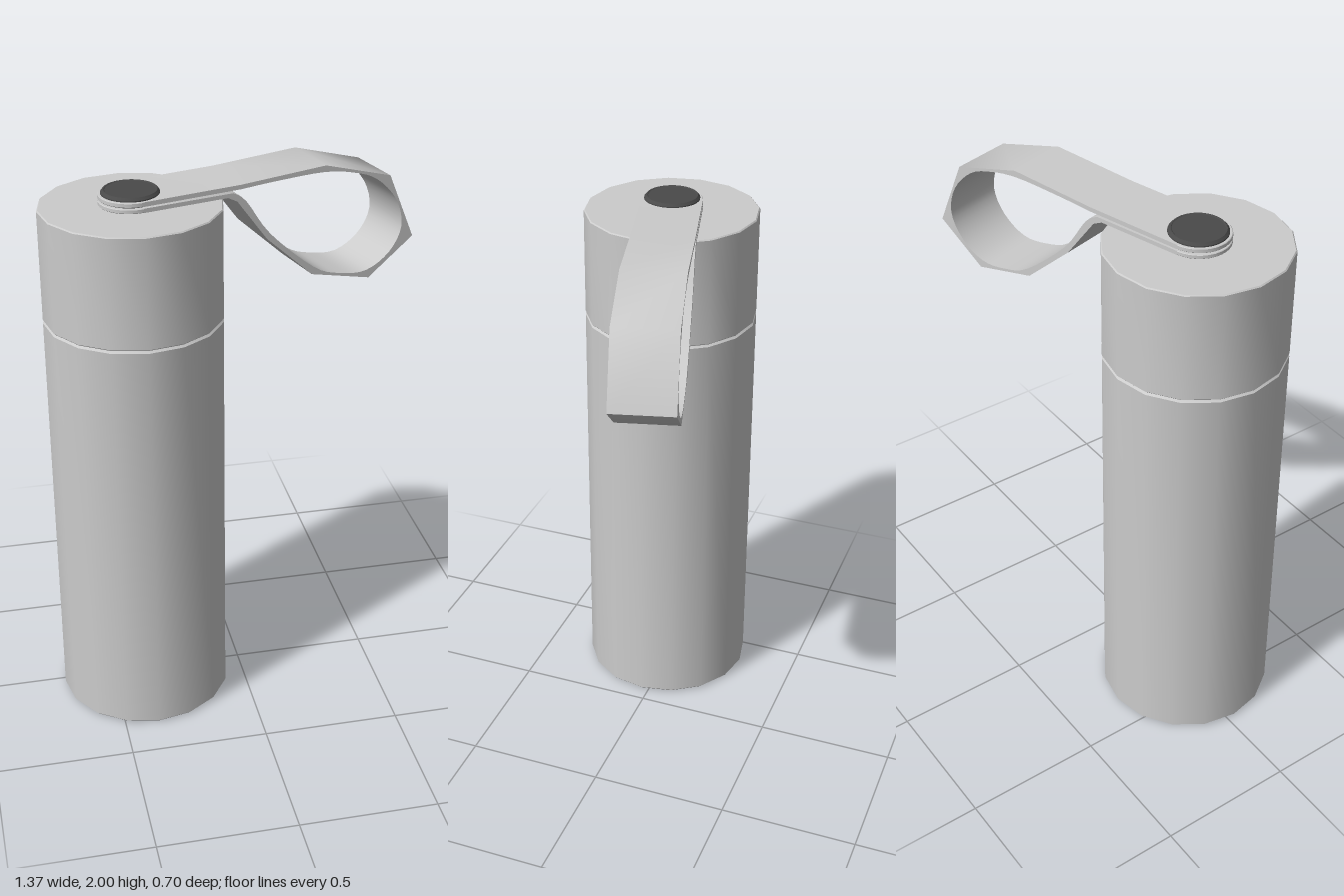
import * as THREE from 'three';
import { toCreasedNormals } from 'three/addons/utils/BufferGeometryUtils.js';

const grey = new THREE.MeshStandardMaterial({ color: 0xcccccc });
const dark = new THREE.MeshStandardMaterial({ color: 0x4a4a4a });
const pts = (list) => list.map(([x, y]) => new THREE.Vector2(x, y));

// Turned part with smooth sides and sharp rims
function turned(name, profile, sides, material) {
  const geo = toCreasedNormals(new THREE.LatheGeometry(pts(profile), sides), 0.6);
  const mesh = new THREE.Mesh(geo, material);
  mesh.name = name;
  return mesh;
}

// Closed drum with a small bevel on both rims
function drum(name, r, y0, y1, bevel, sides, material) {
  return turned(name, [
    [0, y0], [r - bevel, y0], [r, y0 + bevel],
    [r, y1 - bevel], [r - bevel, y1], [0, y1],
  ], sides, material);
}

// Strap: faceted outside, rounded inside, seen from its edge
function strapBand(width) {
  const outer = pts([
    [0, 1.98], [0.36, 1.982], [0.69, 1.998], [0.955, 1.92], [1.061, 1.675],
    [0.88, 1.545], [0.643, 1.603], [0.46, 1.77], [0.345, 1.925], [0.31, 1.943], [0, 1.943],
  ]);
  const inner = new THREE.SplineCurve(pts([
    [0.33, 1.957], [0.38, 1.92], [0.475, 1.785], [0.65, 1.63], [0.76, 1.585], [0.87, 1.576],
    [0.965, 1.63], [1.012, 1.72], [0.985, 1.825], [0.9, 1.915],
    [0.8, 1.955], [0.68, 1.975], [0.5, 1.973], [0.36, 1.966],
  ])).getPoints(52);
  const shape = new THREE.Shape([...outer, ...pts([[0, 1.958]]), ...inner, ...pts([[0, 1.964]])]);
  const geo = new THREE.ExtrudeGeometry(shape, { depth: width, bevelEnabled: false });
  geo.translate(0, 0, -width / 2);
  const mesh = new THREE.Mesh(toCreasedNormals(geo, 1.2), grey);
  mesh.name = 'strapBand';
  return mesh;
}

export function createModel() {
  const model = new THREE.Group();
  model.name = 'bottle';

  // Flask and screw lid
  model.add(drum('flaskBody', 0.316, 0.003, 1.54, 0.008, 16, grey));
  model.add(drum('lid', 0.316, 1.541, 1.94, 0.004, 16, grey));

  // Carrying strap, swung back to one side
  const strap = new THREE.Group();
  strap.name = 'strap';
  strap.add(strapBand(0.22));
  // Rounded ends of the two layers under the button
  strap.add(drum('lowerStrapEnd', 0.11, 1.943, 1.958, 0.002, 32, grey));
  strap.add(drum('upperStrapEnd', 0.11, 1.964, 1.98, 0.002, 32, grey));
  strap.rotation.y = Math.PI / 12;
  model.add(strap);

  // Fastening button with its stem through the strap
  model.add(turned('button', [
    [0, 1.935], [0.095, 1.935], [0.095, 1.978], [0.1, 1.978],
    [0.1, 1.984], [0.092, 1.993], [0.088, 1.993], [0.086, 1.991], [0, 1.991],
  ], 32, dark));

  model.children.forEach((part) => part.position.set(-0.373, 0, 0.03));
  return model;
}
